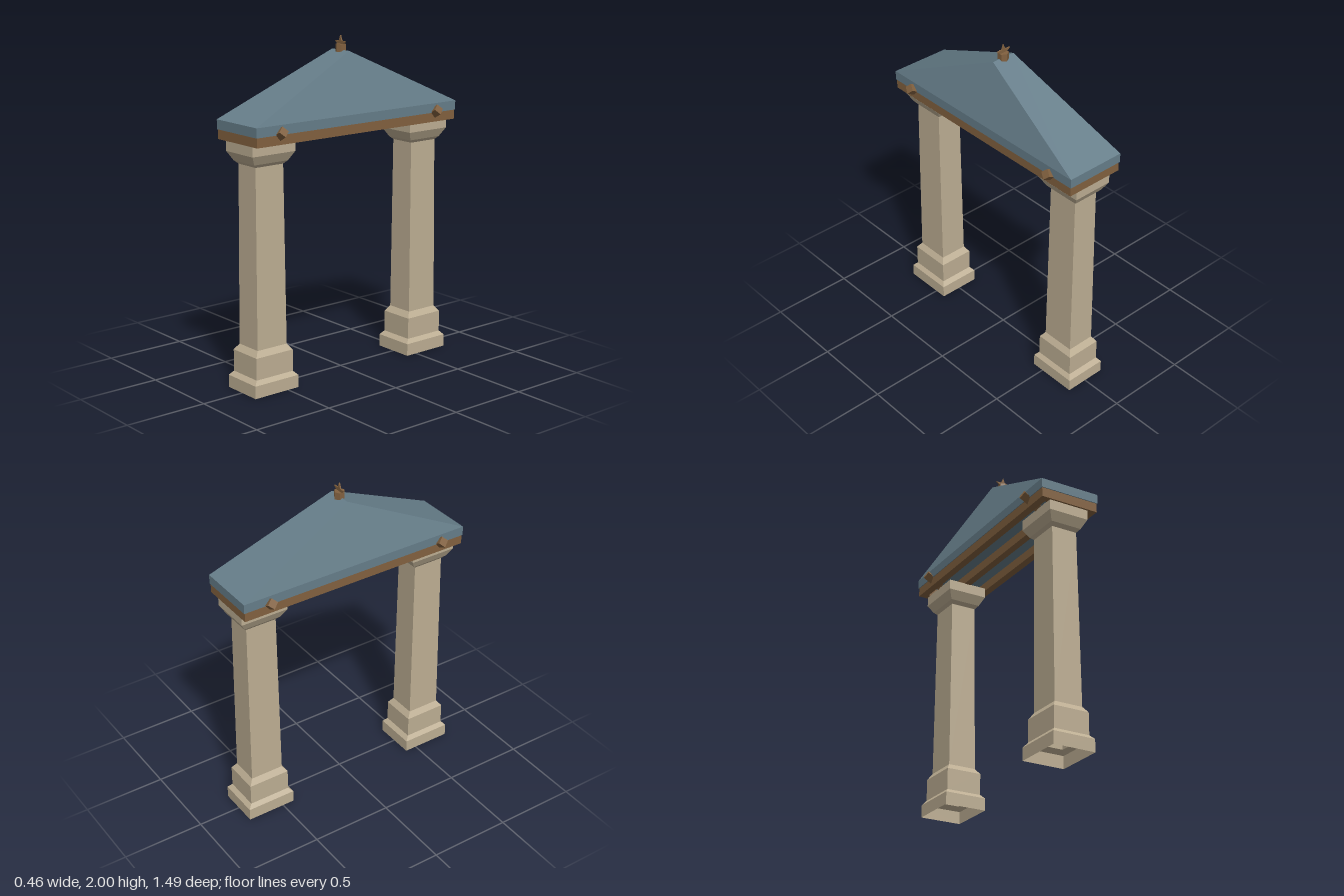
import * as THREE from 'three';

const stone = new THREE.MeshStandardMaterial({ color: 0xbdae93, flatShading: true, side: THREE.DoubleSide });
stone.name = 'stone';
const slate = new THREE.MeshStandardMaterial({ color: 0x667e8a, flatShading: true });
slate.name = 'slate';
const timber = new THREE.MeshStandardMaterial({ color: 0x82613f, flatShading: true });
timber.name = 'timber';

// Stack of rectangular sections [y, half width x, half depth z]
function loftRects(levels, closeBottom) {
  const ring = ([y, x, z]) => [[x, y, z], [x, y, -z], [-x, y, -z], [-x, y, z]].map((p) => new THREE.Vector3(...p));
  const pos = [];
  const tri = (a, b, c) => {
    const area = b.clone().sub(a).cross(c.clone().sub(a)).length();
    if (area > 1e-7) for (const p of [a, b, c]) pos.push(p.x, p.y, p.z);
  };
  const quad = (a, b, c, d) => { tri(a, b, c); tri(a, c, d); };
  const rings = levels.map(ring);
  for (let i = 0; i < rings.length - 1; i++) {
    for (let k = 0; k < 4; k++) {
      const n = (k + 1) % 4;
      quad(rings[i][k], rings[i][n], rings[i + 1][n], rings[i + 1][k]);
    }
  }
  quad(...rings[rings.length - 1]);
  if (closeBottom) quad(...rings[0].slice().reverse());
  const g = new THREE.BufferGeometry();
  g.setAttribute('position', new THREE.Float32BufferAttribute(pos, 3));
  g.computeVertexNormals();
  return g;
}

export function createModel() {
  const model = new THREE.Group();
  model.name = 'roofedGateway';
  const add = (name, geometry, material, x = 0, y = 0, z = 0) => {
    const mesh = new THREE.Mesh(geometry, material);
    mesh.name = name;
    mesh.position.set(x, y, z);
    model.add(mesh);
    return mesh;
  };

  // Two pillars: plinth, tapering shaft and flared capital, hollow underneath
  const pillar = loftRects([
    [0, 0.13, 0.154], [0.075, 0.13, 0.154], [0.1, 0.11, 0.13], [0.23, 0.11, 0.13],
    [0.265, 0.087, 0.104], [1.323, 0.08, 0.096], [1.342, 0.097, 0.117],
    [1.395, 0.125, 0.148], [1.457, 0.125, 0.148],
  ], false);
  for (const s of [1, -1]) add(s > 0 ? 'frontPillar' : 'backPillar', pillar, stone, 0, 0, s * 0.58);

  // Timber frame: three long rails and two end beams
  for (const x of [-0.16, 0, 0.16]) {
    add('longRail', new THREE.BoxGeometry(0.045, 0.056, 1.39), timber, x, 1.483, 0);
  }
  for (const s of [1, -1]) {
    add('endBeam', new THREE.BoxGeometry(0.365, 0.056, 0.045), timber, 0, 1.483, s * 0.7165);
  }

  // Hipped roof with a short ridge running across
  add('roof', loftRects([[1.511, 0.186, 0.744], [1.567, 0.186, 0.744], [1.915, 0.075, 0]], true), slate);

  // Diagonal square pegs rising outward through the frame
  const tilt = Math.atan2(0.48, 0.88);
  const length = 0.12;
  for (const side of [1, -1]) {
    for (const z of [0.58, -0.58]) {
      const peg = add('peg', new THREE.CylinderGeometry(0.032, 0.032, length, 4), timber,
        side * (0.217 - Math.cos(tilt) * length / 2), 1.533 - Math.sin(tilt) * length / 2, z);
      peg.rotation.z = -side * (Math.PI / 2 - tilt);
    }
  }

  // Finial: hexagonal socket holding an upright star
  add('finialSocket', new THREE.CylinderGeometry(0.032, 0.032, 0.044, 6), timber, 0, 1.927, 0);
  const star = new THREE.Shape();
  for (let i = 0; i < 10; i++) {
    const a = Math.PI / 2 + i * Math.PI / 5;
    const r = i % 2 ? 0.021 : 0.05;
    star[i ? 'lineTo' : 'moveTo'](r * Math.cos(a), r * Math.sin(a));
  }
  star.closePath();
  add('finialStar', new THREE.ExtrudeGeometry(star, { depth: 0.008, bevelEnabled: false }), timber, 0, 1.95, -0.004);

  return model;
}
